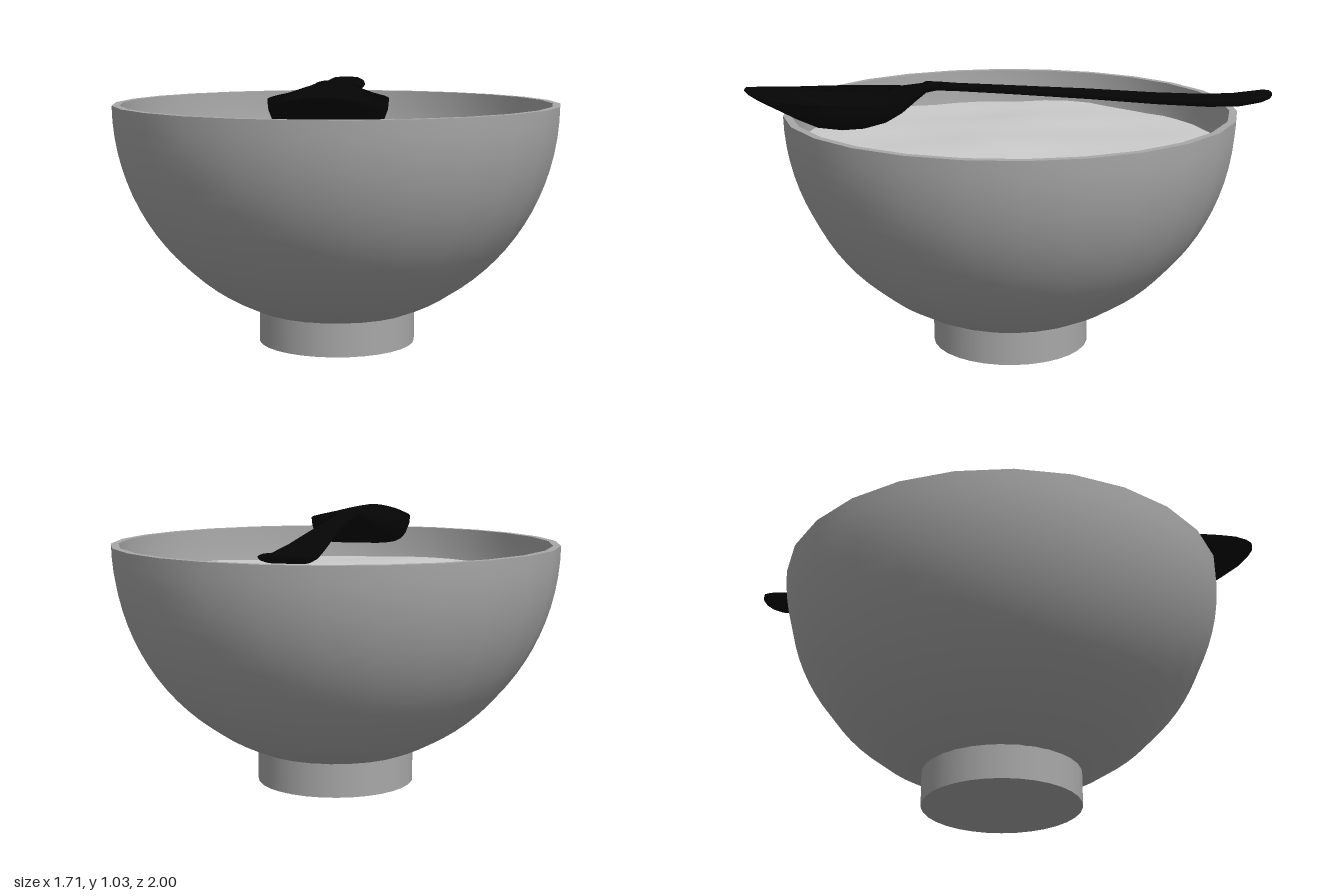
import * as THREE from 'three';
import { mergeVertices } from 'three/addons/utils/BufferGeometryUtils.js';

const RIM_Y = 0.93, SIDES = 26, OUTER = 0.857, INNER = 0.828;

const material = (color) => new THREE.MeshStandardMaterial({ color });

function addMesh(parent, name, geometry, color) {
  const mesh = new THREE.Mesh(geometry, material(color));
  mesh.name = name;
  parent.add(mesh);
  return mesh;
}

// Points down a sphere centred at rim height, from the rim to the given depth angle
function sphereArc(radius, endAngle, steps) {
  return Array.from({ length: steps + 1 }, (_, i) => {
    const a = (endAngle * i) / steps;
    return new THREE.Vector2(Math.max(radius * Math.cos(a), 0), RIM_Y - radius * Math.sin(a));
  });
}

// Lathe with a corner on the x axis
const turned = (points) => new THREE.LatheGeometry(points, SIDES, Math.PI / 2);

function createBowl() {
  const bowl = new THREE.Group();
  bowl.name = 'bowl';
  const color = 0xa8a8a8;
  addMesh(bowl, 'bowlOutside', turned(sphereArc(OUTER, 1.225, 18).reverse()), color);
  addMesh(bowl, 'bowlRim', turned(
    [new THREE.Vector2(OUTER, RIM_Y), new THREE.Vector2(INNER, RIM_Y)]), color);
  addMesh(bowl, 'bowlInside', turned(sphereArc(INNER, Math.PI / 2, 18)), color);
  const foot = addMesh(bowl, 'bowlFoot', new THREE.CylinderGeometry(0.304, 0.304, 0.134, 32), color);
  foot.position.y = 0.067;
  return bowl;
}

// Gently rippled surface filling the bowl, slightly raised in the middle
function createFilling() {
  let geometry = new THREE.RingGeometry(0.001, 0.82, 52, 24);
  geometry.rotateX(-Math.PI / 2);
  const p = geometry.attributes.position;
  for (let i = 0; i < p.count; i++) {
    const x = p.getX(i), z = p.getZ(i);
    const wave = 0.004 * Math.sin(5 * x + 3.1 * z + 0.6) + 0.004 * Math.sin(8 * z - 4 * x + 1.2)
      + 0.005 * Math.sin(11 * x + 7 * z) * Math.cos(9 * z - 3 * x);
    p.setY(i, 0.793 + 0.02 * (1 - (x * x + z * z) / 0.67) + wave);
  }
  geometry.deleteAttribute('uv');
  geometry.deleteAttribute('normal');
  geometry = mergeVertices(geometry);
  geometry.computeVertexNormals();
  return geometry;
}

// Spoon cross-sections: z, half width, edge height, top centre height, underside height
const SPOON = [
  [-1.0, 0.03, 0.977, 0.983, 0.966],
  [-0.985, 0.06, 0.975, 0.982, 0.960],
  [-0.95, 0.08, 0.967, 0.975, 0.950],
  [-0.87, 0.088, 0.957, 0.965, 0.937],
  [-0.75, 0.083, 0.956, 0.964, 0.935],
  [-0.55, 0.069, 0.966, 0.975, 0.946],
  [-0.3, 0.053, 0.985, 0.995, 0.966],
  [0.0, 0.04, 1.004, 1.013, 0.987],
  [0.2, 0.036, 1.016, 1.024, 1.000],
  [0.28, 0.04, 1.022, 1.030, 1.004],
  [0.32, 0.058, 1.020, 1.029, 0.998],
  [0.36, 0.1, 1.008, 1.000, 0.970],
  [0.41, 0.15, 0.993, 0.960, 0.932],
  [0.47, 0.185, 0.988, 0.920, 0.900],
  [0.55, 0.203, 0.986, 0.900, 0.880],
  [0.63, 0.206, 0.986, 0.895, 0.875],
  [0.72, 0.199, 0.986, 0.905, 0.885],
  [0.8, 0.18, 0.988, 0.937, 0.918],
  [0.88, 0.147, 0.993, 0.972, 0.955],
  [0.94, 0.11, 1.001, 0.991, 0.981],
  [0.98, 0.065, 1.009, 1.005, 0.998],
  [1.0, 0.025, 1.015, 1.014, 1.008],
];

function createSpoon() {
  const RING = 32, positions = [], index = [];
  for (const [z, w, edge, top, bottom] of SPOON) {
    for (let k = 0; k < RING; k++) {
      const t = (k / RING) * Math.PI * 2, u = Math.cos(t);
      // Broad flat middle with steep sides
      const fullness = Math.sqrt(Math.max(0, 1 - u ** 6));
      positions.push(w * u, edge + ((Math.sin(t) > 0 ? top : bottom) - edge) * fullness, z);
    }
  }
  for (let s = 0; s < SPOON.length - 1; s++) {
    for (let k = 0; k < RING; k++) {
      const a = s * RING + k, b = s * RING + ((k + 1) % RING);
      index.push(a, b, a + RING, b, b + RING, a + RING);
    }
  }
  // End caps
  const last = (SPOON.length - 1) * RING;
  for (let k = 1; k < RING - 1; k++) {
    index.push(0, k + 1, k, last, last + k, last + k + 1);
  }
  const geometry = new THREE.BufferGeometry();
  geometry.setAttribute('position', new THREE.Float32BufferAttribute(positions, 3));
  geometry.setIndex(index);
  geometry.computeVertexNormals();
  return geometry;
}

export function createModel() {
  const model = new THREE.Group();
  model.name = 'bowlWithSpoon';
  model.add(createBowl());
  addMesh(model, 'filling', createFilling(), 0xcccccc);
  addMesh(model, 'spoon', createSpoon(), 0x050505);
  return model;
}
